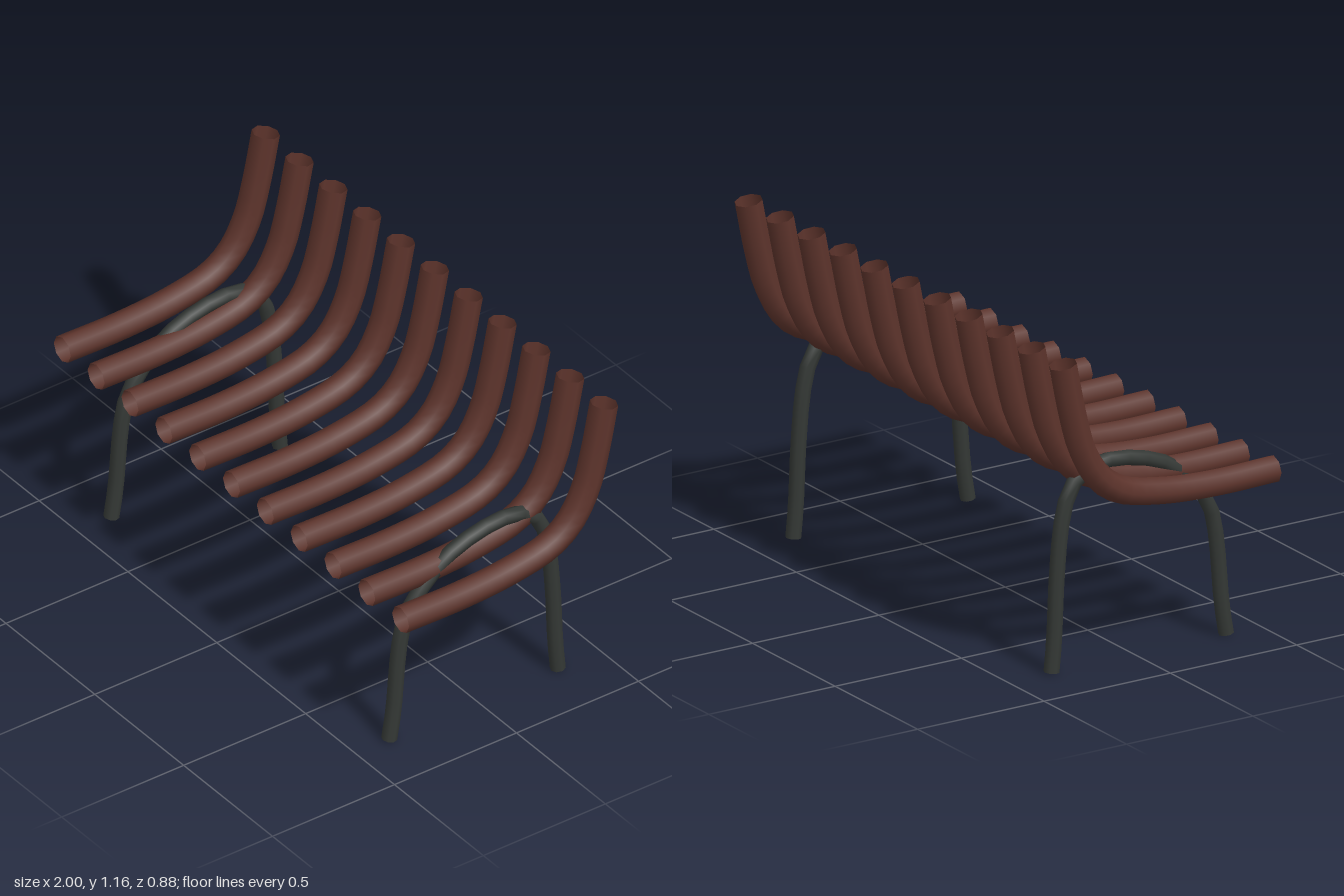
import * as THREE from 'three';

const slatMaterial = new THREE.MeshStandardMaterial({ color: 0x5c332b, side: THREE.DoubleSide });
const legMaterial = new THREE.MeshStandardMaterial({ color: 0x343835, side: THREE.DoubleSide });

// Open tube along a side profile given as [z, y] points
function profileTube(points, segments, radius) {
  const curve = new THREE.CatmullRomCurve3(points.map(([z, y]) => new THREE.Vector3(0, y, z)));
  return new THREE.TubeGeometry(curve, segments, radius, 8, false);
}

export function createModel() {
  const bench = new THREE.Group();
  bench.name = 'bench';

  // Bent slats: seat sweeping up into the backrest
  const slatGeometry = profileTube([
    [0.44, 0.619], [0.2, 0.616], [0, 0.63], [-0.17, 0.668],
    [-0.255, 0.73], [-0.317, 0.835], [-0.355, 0.965], [-0.394, 1.152],
  ], 24, 0.048);
  const slatCount = 11;
  for (let i = 0; i < slatCount; i++) {
    const slat = new THREE.Mesh(slatGeometry, slatMaterial);
    slat.name = `slat${i + 1}`;
    slat.position.x = -0.952 + (1.904 * i) / (slatCount - 1);
    bench.add(slat);
  }

  // Arched leg hoops, one near each end
  const legGeometry = profileTube([
    [0.363, 0.005], [0.346, 0.11], [0.324, 0.35], [0.304, 0.45], [0.245, 0.548],
    [0.133, 0.645], [0.012, 0.692], [-0.11, 0.707], [-0.19, 0.692],
    [-0.25, 0.64], [-0.285, 0.535], [-0.306, 0.35], [-0.318, 0.11], [-0.328, 0.004],
  ], 24, 0.027);
  for (const side of [-1, 1]) {
    const leg = new THREE.Mesh(legGeometry, legMaterial);
    leg.name = side > 0 ? 'leftLegHoop' : 'rightLegHoop';
    leg.position.x = side * 0.782;
    bench.add(leg);
  }

  return bench;
}
